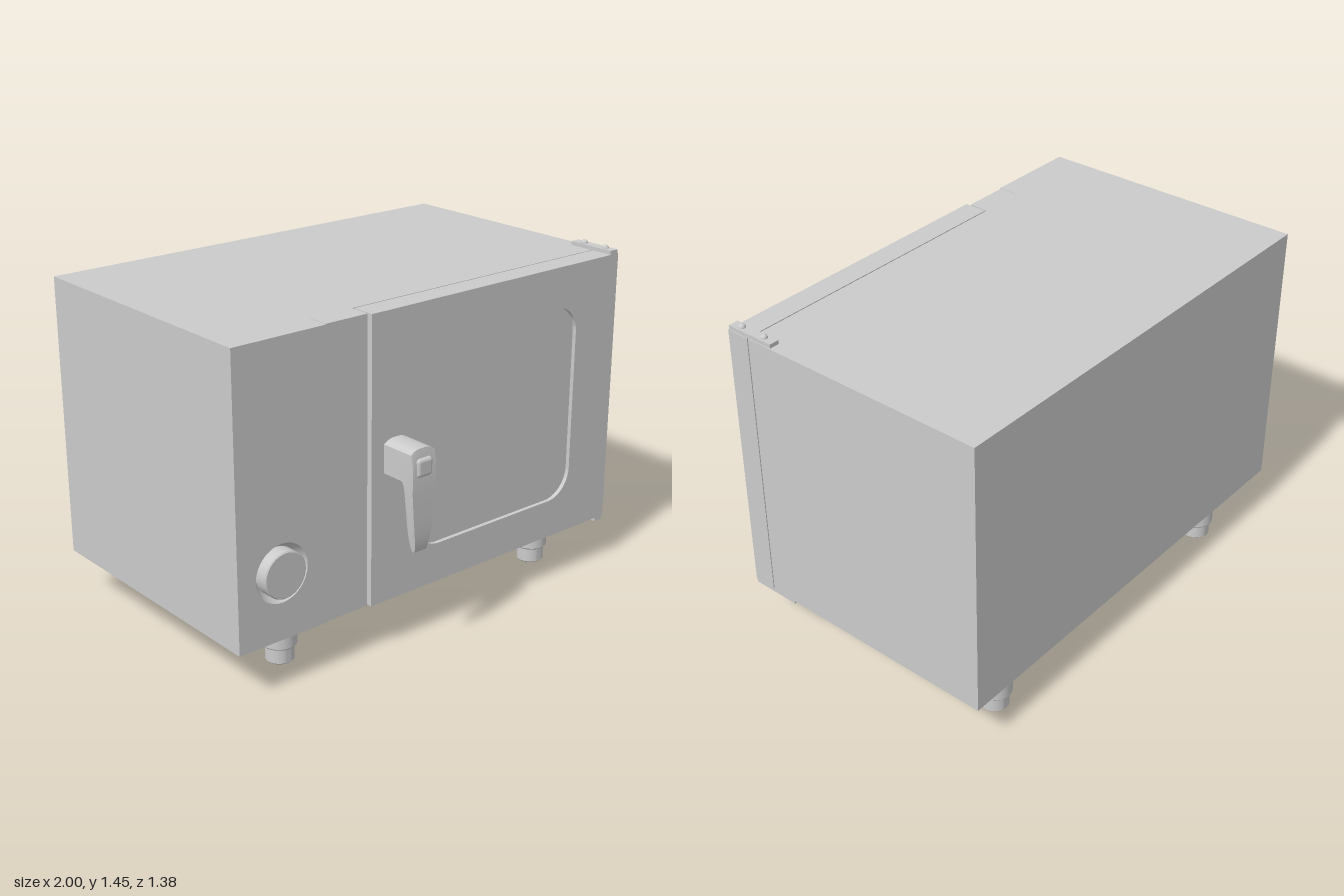
import * as THREE from 'three';
import { toCreasedNormals } from 'three/addons/utils/BufferGeometryUtils.js';
import { RoundedBoxGeometry } from 'three/addons/geometries/RoundedBoxGeometry.js';

const BOTTOM = 0.21, TOP = 1.417;

export function createModel() {
  const model = new THREE.Group();
  const grey = new THREE.MeshStandardMaterial({ color: 0xcccccc });
  const greyDouble = new THREE.MeshStandardMaterial({ color: 0xcccccc, side: THREE.DoubleSide });

  const add = (name, geometry, x = 0, y = 0, z = 0, parent = model, material = grey) => {
    const mesh = new THREE.Mesh(geometry, material);
    mesh.name = name;
    mesh.position.set(x, y, z);
    parent.add(mesh);
    return mesh;
  };
  // Box given by its two extreme corners
  const block = (name, x0, x1, y0, y1, z0, z1, parent) =>
    add(name, new THREE.BoxGeometry(x1 - x0, y1 - y0, z1 - z0),
      (x0 + x1) / 2, (y0 + y1) / 2, (z0 + z1) / 2, parent);
  const turned = (profile, segments = 40) =>
    toCreasedNormals(new THREE.LatheGeometry(profile.map(p => new THREE.Vector2(...p)), segments), 0.6);
  const rectangle = (x0, x1, y0, y1) => new THREE.Shape([
    new THREE.Vector2(x0, y0), new THREE.Vector2(x1, y0),
    new THREE.Vector2(x1, y1), new THREE.Vector2(x0, y1)]);
  const slab = (shape, depth) => toCreasedNormals(
    new THREE.ExtrudeGeometry(shape, { depth, bevelEnabled: false, curveSegments: 16 }), 0.6);

  // Cabinet and the narrow strip between control panel and door
  block('cabinet', -1, 1, BOTTOM, TOP, -0.69, 0.413);
  block('frontStrip', -0.572, -0.372, BOTTOM, TOP, 0.413, 0.503);

  // Control panel with a round opening for the knob
  const panel = rectangle(-1, -0.576, BOTTOM, TOP);
  panel.holes.push(new THREE.Path().absarc(-0.795, 0.49, 0.122, 0, Math.PI * 2, true));
  add('controlPanel', slab(panel, 0.097), 0, 0, 0.413);

  // Knob sitting in a sloped circular recess
  const knob = turned([[0.122, 0.51], [0.113, 0.49], [0.097, 0.475], [0.097, 0.53],
    [0.092, 0.535], [0, 0.535]], 48);
  knob.rotateX(Math.PI / 2);
  add('knob', knob, -0.795, 0.49, 0, model, greyDouble);

  // Door with a rounded window opening and a recessed pane
  const door = new THREE.Group();
  door.name = 'door';
  model.add(door);
  const [l, r, b, t, c] = [-0.13, 0.76, 0.38, 1.245, 0.125];
  const opening = new THREE.Path();
  opening.absarc(l + c, b + c, c, Math.PI * 1.5, Math.PI, true);
  opening.absarc(l + c, t - c, c, Math.PI, Math.PI / 2, true);
  opening.absarc(r - c, t - c, c, Math.PI / 2, 0, true);
  opening.absarc(r - c, b + c, c, 0, -Math.PI / 2, true);
  const doorShape = rectangle(-0.365, 1, BOTTOM, TOP);
  doorShape.holes.push(opening);
  add('doorFrame', slab(doorShape, 0.102), 0, 0, 0.418, door);
  block('windowPane', l - 0.01, r + 0.01, b - 0.01, t + 0.01, 0.43, 0.502, door);

  // Door handle: side profile (z, y) swept across x, tapered downwards, crowned on top
  const side = new THREE.Shape();
  side.moveTo(0.515, 0.765);
  side.lineTo(0.62, 0.765);
  side.quadraticCurveTo(0.637, 0.76, 0.638, 0.72);
  side.lineTo(0.64, 0.62);
  side.quadraticCurveTo(0.642, 0.48, 0.655, 0.47);
  side.lineTo(0.667, 0.47);
  side.quadraticCurveTo(0.682, 0.5, 0.684, 0.62);
  side.lineTo(0.685, 0.72);
  side.lineTo(0.685, 0.84);
  side.lineTo(0.673, 0.903);
  side.lineTo(0.515, 0.903);
  const handle = new THREE.ExtrudeGeometry(side, { depth: 2, steps: 8, bevelEnabled: false, curveSegments: 8 });
  handle.translate(0, 0, -1);
  handle.rotateY(-Math.PI / 2);
  // After the turn the profile depth lies on +z and the sweep on x
  const pos = handle.attributes.position;
  for (let i = 0; i < pos.count; i++) {
    const x = pos.getX(i), y = pos.getY(i);
    const drop = THREE.MathUtils.clamp((0.76 - y) / 0.29, 0, 1);
    pos.setX(i, x * (0.06 - 0.03 * Math.pow(drop, 1.6)));
    if (y > 0.9) pos.setY(i, y - 0.018 * Math.pow(Math.abs(x), 3));
  }
  handle.computeVertexNormals();
  add('handle', toCreasedNormals(handle, 0.6), -0.242, 0, 0, door);
  add('handleButton', new RoundedBoxGeometry(0.08, 0.078, 0.036, 3, 0.016), -0.242, 0.827, 0.676, door);

  // Hinge plates with two domed bolts, above and below the door
  for (const up of [1, -1]) {
    const hinge = new THREE.Group();
    hinge.name = up > 0 ? 'upperHinge' : 'lowerHinge';
    hinge.position.set(0.974, up > 0 ? TOP : BOTTOM, 0);
    if (up < 0) hinge.rotation.z = Math.PI;
    model.add(hinge);
    block('hingePlate', -0.022, 0.022, -0.002, 0.017, 0.298, 0.519, hinge);
    for (const z of [0.47, 0.352]) {
      const bolt = new THREE.SphereGeometry(0.015, 20, 8, 0, Math.PI * 2, 0, Math.PI / 2);
      add('hingeBolt', bolt, 0, 0.017, z, hinge);
    }
  }

  // Four stepped feet
  const foot = turned([[0, 0], [0.053, 0], [0.059, 0.006], [0.059, 0.068], [0.066, 0.069],
    [0.071, 0.075], [0.071, 0.212]]);
  for (const x of [-0.666, 0.758])
    for (const z of [0.314, -0.569]) add('foot', foot, x, 0, z);

  return model;
}
